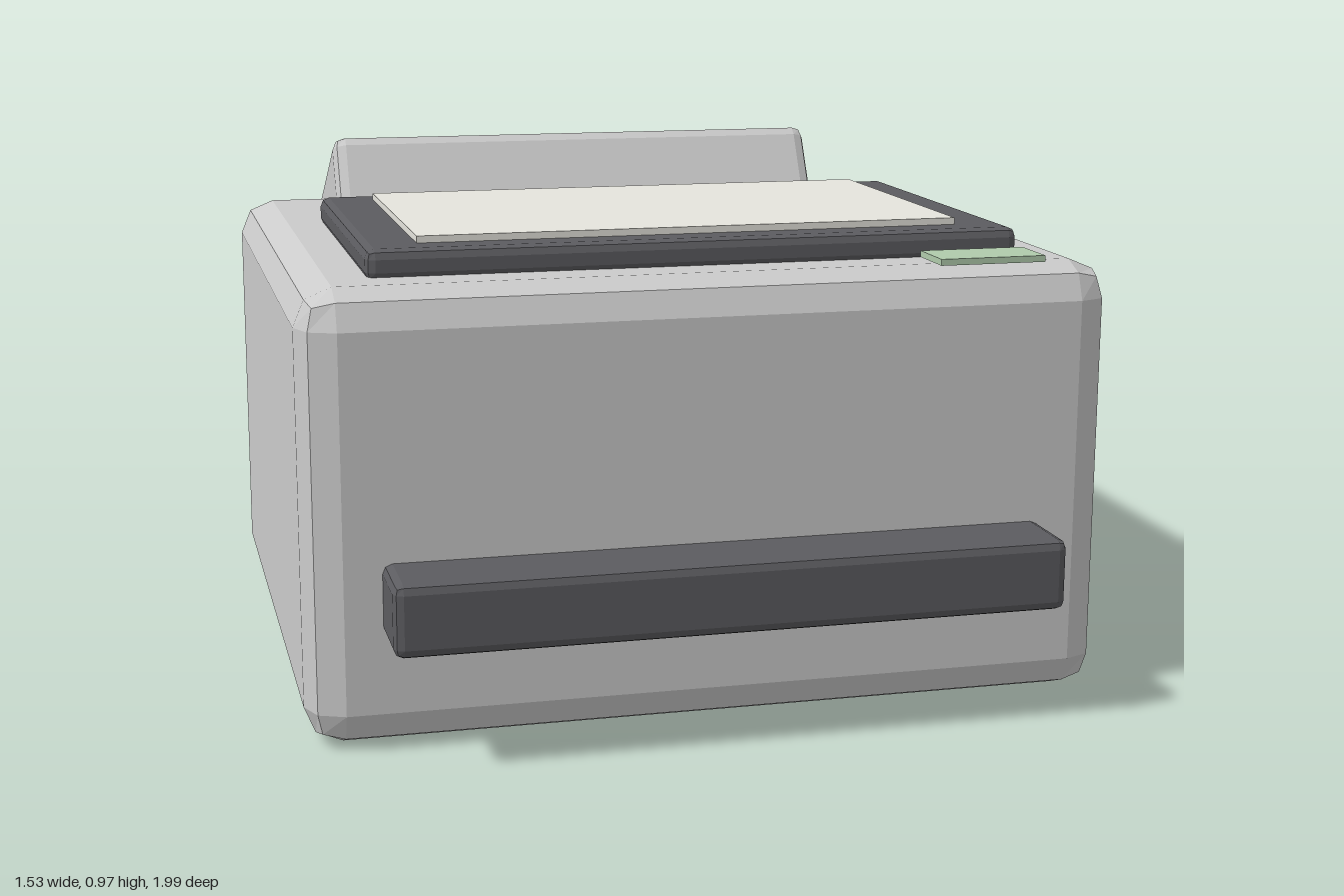
import * as THREE from 'three';
import { RoundedBoxGeometry } from 'three/addons/geometries/RoundedBoxGeometry.js';

const material = (color) => new THREE.MeshStandardMaterial({ color, flatShading: true });

export function createModel() {
  const model = new THREE.Group();
  model.name = 'printer';
  const grey = material(0xcccccc);
  const dark = material(0x5c5c60);

  // Box given by its extents on each axis; a radius bevels its edges
  const addBox = (name, [x0, x1], [y0, y1], [z0, z1], mat, radius = 0) => {
    const size = [x1 - x0, y1 - y0, z1 - z0];
    const geometry = radius
      ? new RoundedBoxGeometry(...size, 1, radius)
      : new THREE.BoxGeometry(...size);
    const mesh = new THREE.Mesh(geometry, mat);
    mesh.name = name;
    mesh.position.set((x0 + x1) / 2, (y0 + y1) / 2, (z0 + z1) / 2);
    model.add(mesh);
    return mesh;
  };

  // Main housing
  addBox('body', [-0.765, 0.765], [0, 0.84], [-0.46, 0.86], grey, 0.07);

  // Scanner frame with its glass plate
  addBox('scannerFrame', [-0.625, 0.625], [0.83, 0.89], [-0.045, 0.715], dark, 0.018);
  addBox('scannerGlass', [-0.522, 0.522], [0.88, 0.903], [0.025, 0.645], material(0xe6e5dd));

  // Small display at the front edge of the top
  addBox('display', [0.42, 0.625], [0.844, 0.856], [0.735, 0.843], material(0xb0cbac));

  // Output tray
  addBox('outputTray', [-0.625, 0.625], [0.215, 0.35], [0.72, 1], dark, 0.018);

  // Paper feeder sloping down behind the body
  const feeder = addBox('paperFeeder', [-0.555, 0.555], [0.575, 0.835], [-0.985, -0.295], grey, 0.028);
  feeder.rotation.x = -0.5;

  return model;
}
